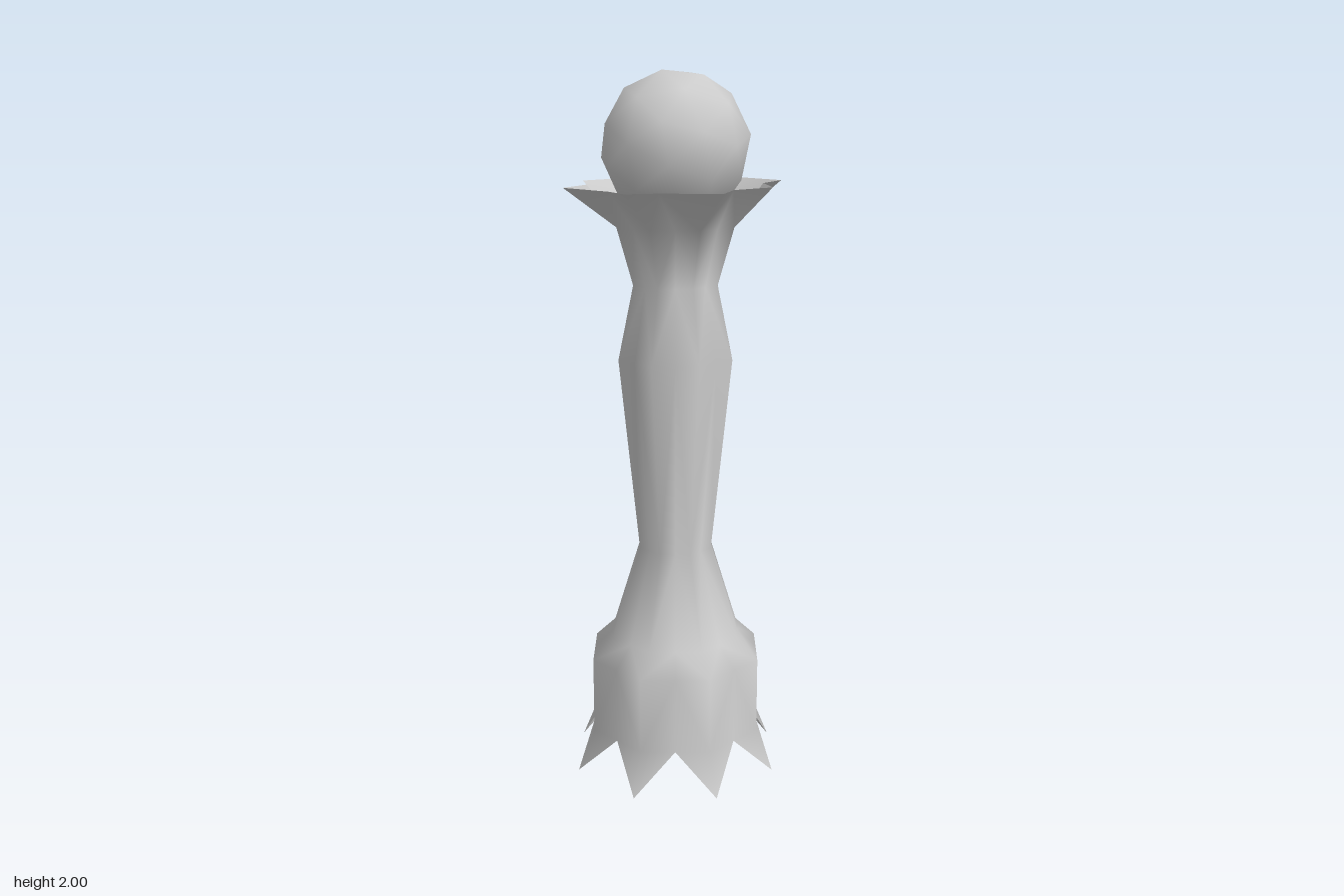
import * as THREE from 'three';

const COLS = 16; // eight corners plus the middle of each side
const FLAT = Math.cos(Math.PI / 8);

// Octagonal rings of the column: [radius, height]
const PROFILE = [
  [0.257, 0.12], [0.257, 0.34], [0.195, 0.4], [0.11, 0.665],
  [0.17, 1.22], [0.125, 1.425], [0.172, 1.585],
];
// One quarter of the crown rim from front to side: [x, z], points and valleys alternating
const RIM = [[0, 0.333], [0.07, 0.28], [0.226, 0.227], [0.212, 0.115], [0.279, 0]];
const RIM_Y = 1.695;

function ring(radius, y) {
  const points = [];
  for (let j = 0; j < COLS; j++) {
    const a = (j / COLS) * Math.PI * 2;
    const r = j % 2 ? radius * FLAT : radius;
    points.push([r * Math.sin(a), y, r * Math.cos(a)]);
  }
  return points;
}

// Mirror the quarter rim all the way round
function crownRim() {
  const points = [];
  for (let j = 0; j < COLS; j++) {
    const k = j % 8;
    const [x, z] = RIM[k <= 4 ? k : 8 - k];
    points.push([j <= 8 ? x : -x, RIM_Y, j <= 4 || j >= 12 ? z : -z]);
  }
  return points;
}

export function createModel() {
  const group = new THREE.Group();
  const material = new THREE.MeshStandardMaterial({ color: 0xcccccc, side: THREE.DoubleSide });

  // Tooth tips, column rings, crown rim
  const rows = [ring(0.307, 0), ...PROFILE.map(([r, y]) => ring(r, y)), crownRim()];

  // Between the tooth tips the lowest row meets the wall edge
  const id = (row, col) => {
    const j = col % COLS;
    return (row === 0 && j % 2 ? 1 : row) * COLS + j;
  };
  const strip = (from, to) => {
    const index = [];
    const tri = (a, b, c) => {
      if (a !== b && b !== c && a !== c) index.push(a, b, c);
    };
    for (let i = from; i < to; i++) {
      for (let j = 0; j < COLS; j++) {
        const a = id(i, j), b = id(i, j + 1), c = id(i + 1, j + 1), d = id(i + 1, j);
        if (j % 2) { tri(a, b, d); tri(b, c, d); }
        else { tri(a, b, c); tri(a, c, d); }
      }
    }
    return index;
  };

  // Smooth normals run across all parts of the column
  const whole = new THREE.BufferGeometry();
  whole.setAttribute('position', new THREE.Float32BufferAttribute(rows.flat(2), 3));
  whole.setIndex(strip(0, rows.length - 1));
  whole.computeVertexNormals();

  const parts = [['toothedBase', 0, 3], ['shaft', 3, 7], ['pointedCrown', 7, 8]];
  for (const [name, from, to] of parts) {
    const geometry = whole.clone();
    geometry.setIndex(strip(from, to));
    const mesh = new THREE.Mesh(geometry, material);
    mesh.name = name;
    group.add(mesh);
  }

  // Ball resting in the crown
  const ball = new THREE.Mesh(new THREE.IcosahedronGeometry(0.206, 1), material);
  ball.name = 'ball';
  ball.rotation.set(0.2, 0.3, 0.1);
  ball.position.y = 1.796;
  group.add(ball);

  return group;
}
